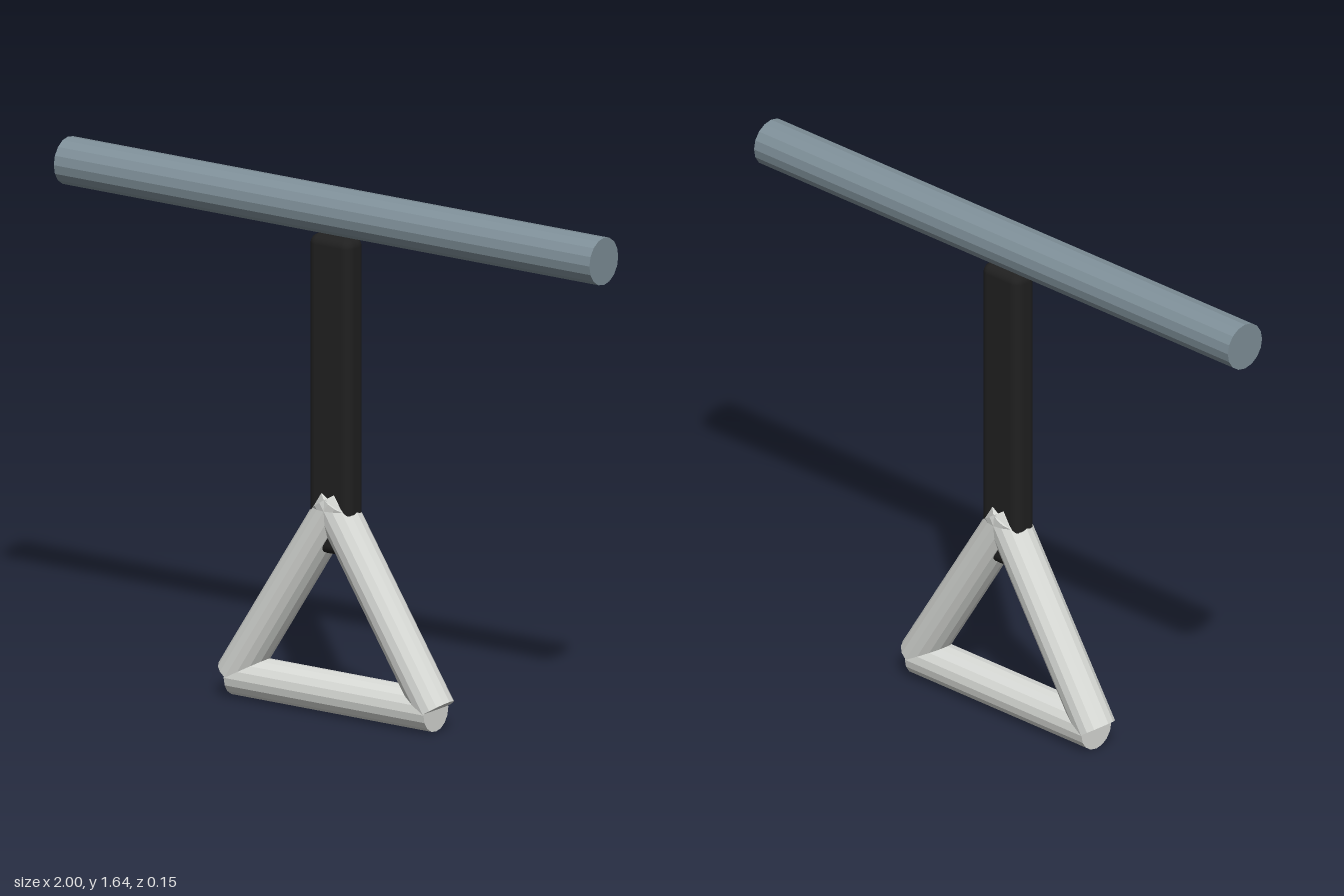
import * as THREE from 'three';
import { RoundedBoxGeometry } from 'three/addons/geometries/RoundedBoxGeometry.js';

const material = (name, color, flatShading = false) => {
  const m = new THREE.MeshStandardMaterial({ color, flatShading });
  m.name = name;
  return m;
};

// Straight faceted tube between two points in the x-y plane
function rod(name, [x1, y1], [x2, y2], radius, mat) {
  const dir = new THREE.Vector3(x2 - x1, y2 - y1, 0);
  const mesh = new THREE.Mesh(new THREE.CylinderGeometry(radius, radius, dir.length(), 16), mat);
  mesh.name = name;
  mesh.position.set((x1 + x2) / 2, (y1 + y2) / 2, 0);
  mesh.quaternion.setFromUnitVectors(new THREE.Vector3(0, 1, 0), dir.normalize());
  return mesh;
}

export function createModel() {
  const model = new THREE.Group();
  model.name = 'hangingGrabHandle';
  const steel = material('blue grey steel', 0x7f9099, true);
  const black = material('black strap', 0x202020);
  const plastic = material('pale grey plastic', 0xd8dad6, true);

  // Overhead rail
  model.add(rod('rail', [-1, 1.57], [1, 1.57], 0.074, steel));

  // Hanging strap with rounded edges
  const strap = new THREE.Mesh(new RoundedBoxGeometry(0.157, 0.995, 0.086, 3, 0.03), black);
  strap.name = 'strap';
  strap.position.y = 0.9985;
  model.add(strap);

  // Triangular grip: two arms crossing slightly at the top, and a bottom bar
  const handle = new THREE.Group();
  handle.name = 'handle';
  const r = 0.064;
  handle.add(rod('gripBar', [-0.373, r], [0.373, r], r, plastic));
  for (const [side, s] of [['left', 1], ['right', -1]]) {
    handle.add(rod(side + 'Arm', [s * 0.37, 0.066], [s * -0.016, 0.668], r, plastic));
  }
  model.add(handle);
  return model;
}
